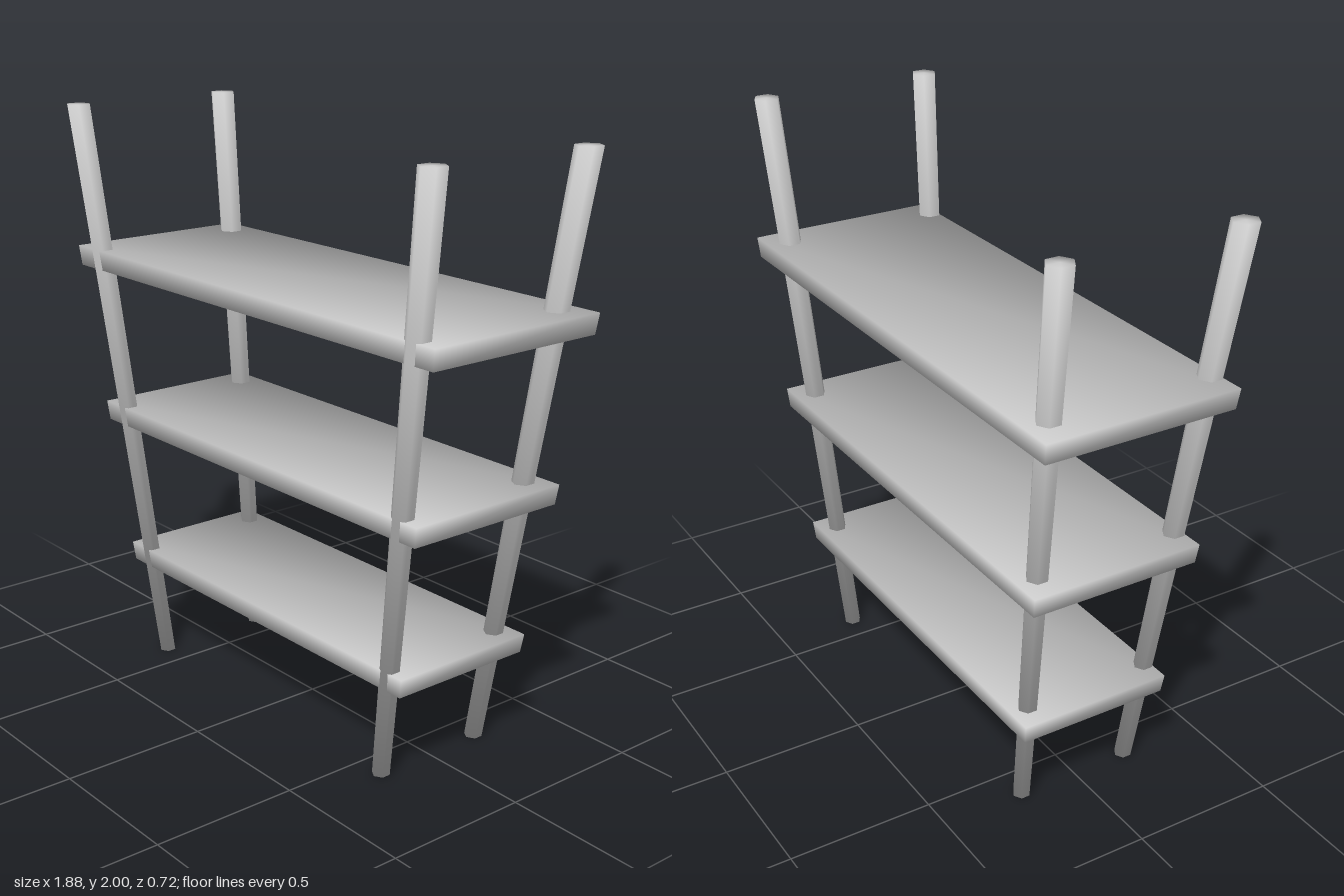
import * as THREE from 'three';

const material = new THREE.MeshStandardMaterial({ color: 0xcccccc });

// Six-sided tapered leg, leaning from its foot to its top, with level ends
// and soft normals running over the rims.
function makeLeg(foot, top) {
  const height = 2;
  const geo = new THREE.CylinderGeometry(0.045, 0.03, height, 6);
  const pos = geo.attributes.position;
  const nor = geo.attributes.normal;
  const n = new THREE.Vector3();
  for (let i = 0; i < pos.count; i++) {
    const x = pos.getX(i), y = pos.getY(i), z = pos.getZ(i);
    n.set(x, 0, z);
    if (n.length() > 0.001) n.normalize().multiplyScalar(1.3);
    n.y = Math.sign(y);
    n.normalize();
    nor.setXYZ(i, n.x, n.y, n.z);
    const t = y / height + 0.5;
    pos.setXYZ(i,
      x + THREE.MathUtils.lerp(foot[0], top[0], t),
      t * height,
      z + THREE.MathUtils.lerp(foot[1], top[1], t));
  }
  return new THREE.Mesh(geo, material);
}

// Board whose ends slope outwards with the legs, shaded smoothly over its corners.
function makeShelf({ y0, y1, left, right, front, back }) {
  const geo = new THREE.BoxGeometry(2, 2, 2);
  const pos = geo.attributes.position;
  const nor = geo.attributes.normal;
  const k = 1 / Math.sqrt(3);
  for (let i = 0; i < pos.count; i++) {
    const x = pos.getX(i), y = pos.getY(i), z = pos.getZ(i);
    nor.setXYZ(i, x * k, y * k, z * k);
    const inset = y < 0 ? 0.011 : 0;
    const insetZ = y < 0 ? 0.005 : 0;
    pos.setXYZ(i,
      x > 0 ? left - inset : right + inset,
      y > 0 ? y1 : y0,
      z > 0 ? front - insetZ : back + insetZ);
  }
  return new THREE.Mesh(geo, material);
}

export function createModel() {
  const group = new THREE.Group();
  group.name = 'shelfUnit';

  // Four splayed legs
  for (const [side, footX, topX] of [['Left', 0.6, 0.9], ['Right', -0.608, -0.905]]) {
    for (const [end, footZ, topZ] of [['front', 0.205, 0.316], ['back', -0.207, -0.305]]) {
      const leg = makeLeg([footX, footZ], [topX, topZ]);
      leg.name = `${end}${side}Leg`;
      group.add(leg);
    }
  }

  // Three shelves, widening upwards
  const shelves = [
    { name: 'bottomShelf', y0: 0.328, y1: 0.393, left: 0.738, right: -0.755, front: 0.25, back: -0.29 },
    { name: 'middleShelf', y0: 0.86, y1: 0.928, left: 0.828, right: -0.845, front: 0.283, back: -0.325 },
    { name: 'topShelf', y0: 1.425, y1: 1.495, left: 0.925, right: -0.942, front: 0.316, back: -0.362 },
  ];
  for (const spec of shelves) {
    const shelf = makeShelf(spec);
    shelf.name = spec.name;
    group.add(shelf);
  }
  return group;
}
